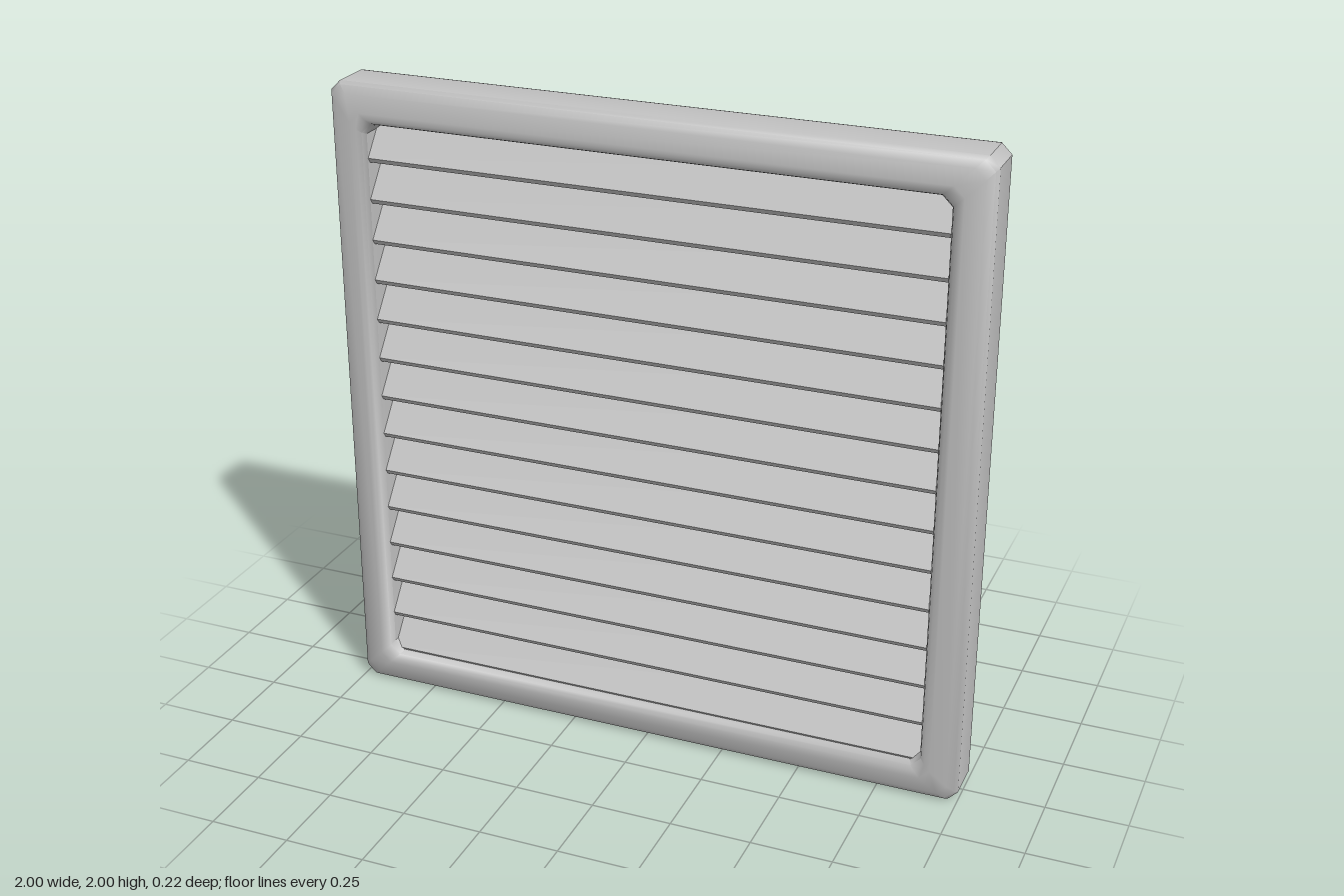
import * as THREE from 'three';
import { toCreasedNormals } from 'three/addons/utils/BufferGeometryUtils.js';

const grey = new THREE.MeshStandardMaterial({ color: 0xc0c0c0 });
grey.name = 'plain grey';

// Square ring with clipped corners, counter-clockwise seen from the front
function ring(inset, z, clip) {
  const h = 1 - inset, k = h - clip;
  return [[h, -k], [h, k], [k, h], [-k, h], [-h, k], [-h, -k], [-k, -h], [k, -h]]
    .map(([x, y]) => [x, y + 1, z]);
}

// Frame section swept round the square: [inset from the outer edge, z]
function frameGeometry() {
  const profile = [
    [0, -0.06], [0, 0.065], [0.008, 0.08], [0.03, 0.095], [0.08, 0.11], [0.098, 0.108],
    [0.111, 0.098], [0.118, 0.08], [0.118, -0.113], [0.03, -0.092], [0.012, -0.085], [0.005, -0.078],
  ];
  const n = 8, m = profile.length;
  const positions = profile.flatMap(([d, z]) => ring(d, z, 0.03).flat());
  const index = [];
  for (let j = 0; j < m; j++) {
    for (let i = 0; i < n; i++) {
      const a = j * n + i, b = j * n + (i + 1) % n;
      const c = ((j + 1) % m) * n + (i + 1) % n, d = ((j + 1) % m) * n + i;
      index.push(a, b, c, a, c, d);
    }
  }
  const g = new THREE.BufferGeometry();
  g.setAttribute('position', new THREE.Float32BufferAttribute(positions, 3));
  g.setIndex(index);
  return toCreasedNormals(g, THREE.MathUtils.degToRad(42));
}

// Sloping slat: low at the front, high at the back
function slatGeometry() {
  const section = new THREE.Shape([[-0.08, 0], [-0.07, -0.015], [0.02, 0.105], [0.03, 0.14]]
    .map(([x, y]) => new THREE.Vector2(x, y)));
  const width = 1.768;
  const g = new THREE.ExtrudeGeometry(section, { depth: width, bevelEnabled: false });
  g.translate(0, 0, -width / 2);
  g.rotateY(Math.PI / 2);
  return g;
}

export function createModel() {
  const group = new THREE.Group();
  group.name = 'louvredVent';

  const frame = new THREE.Mesh(frameGeometry(), grey);
  frame.name = 'frame';
  group.add(frame);

  const slats = new THREE.Group();
  slats.name = 'slats';
  const slat = slatGeometry();
  for (let i = 0; i < 14; i++) {
    const mesh = new THREE.Mesh(slat, grey);
    mesh.name = 'slat';
    mesh.position.y = 1.777 - i * 0.127;
    slats.add(mesh);
  }
  group.add(slats);
  return group;
}
